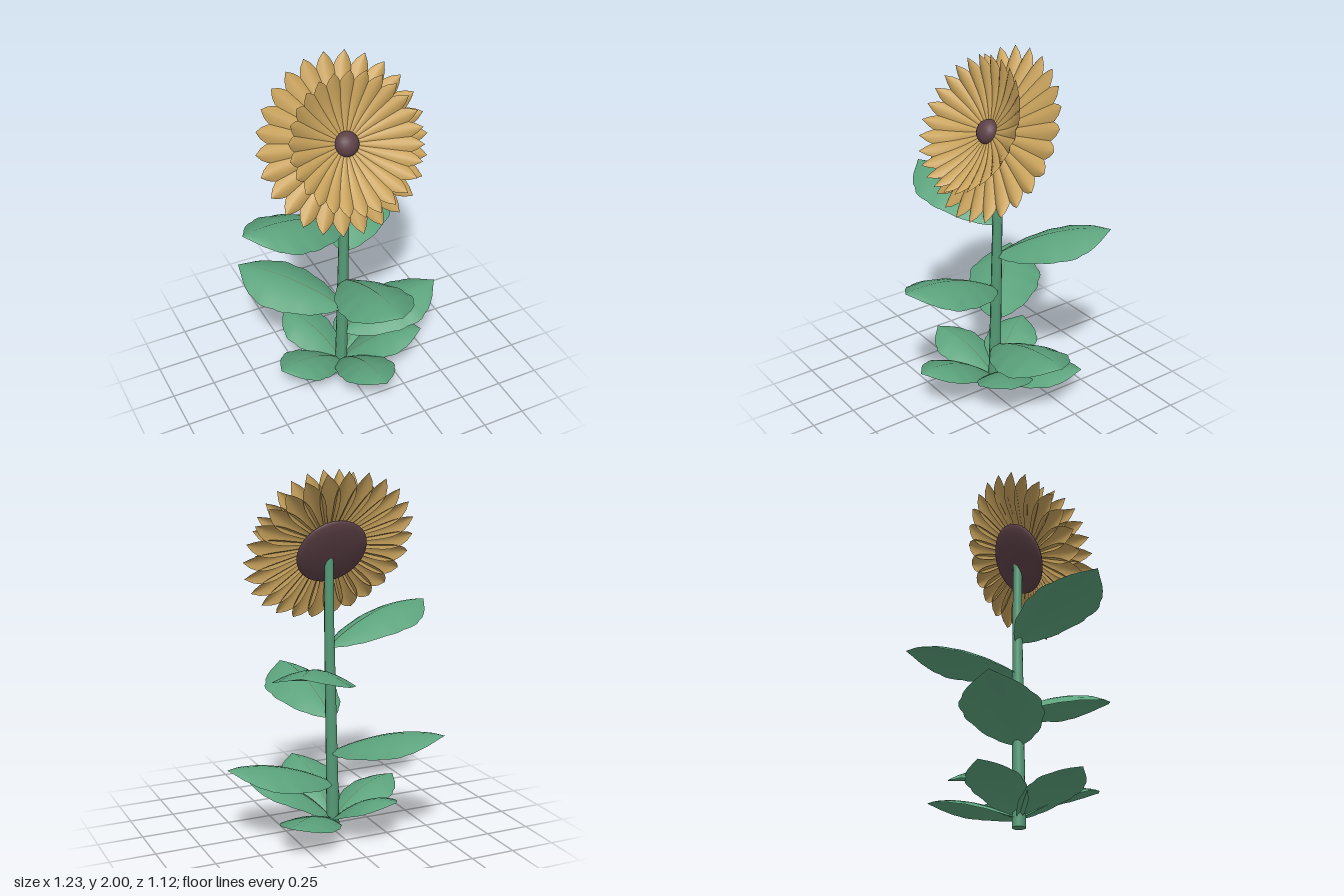
import * as THREE from 'three';

const mat = (name, color, side = THREE.FrontSide) => {
  const m = new THREE.MeshStandardMaterial({ color, side });
  m.name = name;
  return m;
};

// Piecewise-linear lookup in a list of [t, value] pairs
const sample = (pts, t) => {
  for (let i = 1; i < pts.length; i++) {
    const [a, va] = pts[i - 1], [b, vb] = pts[i];
    if (t <= b) return va + (vb - va) * (t - a) / (b - a);
  }
  return pts[pts.length - 1][1];
};

// Curved strip along +z, upper side +y; mid(t) gives [y, z], half(t) the half width, droop lowers the edges
function blade(rows, cols, mid, half, droop) {
  const pos = [], idx = [];
  for (let i = 0; i <= rows; i++) {
    const t = i / rows, [y, z] = mid(t), w = half(t);
    for (let j = 0; j <= cols; j++) {
      const s = (j / cols) * 2 - 1;
      pos.push(s * w, y - droop(t) * Math.pow(Math.abs(s), 1.7), z);
      if (i < rows && j < cols) {
        const a = i * (cols + 1) + j, b = a + cols + 1;
        idx.push(a, b, a + 1, a + 1, b, b + 1);
      }
    }
  }
  const g = new THREE.BufferGeometry();
  g.setAttribute('position', new THREE.Float32BufferAttribute(pos, 3));
  g.setIndex(idx);
  g.computeVertexNormals();
  return g;
}

const LEAF = [[0, 0.06], [0.08, 0.36], [0.2, 0.64], [0.35, 0.86], [0.5, 0.98], [0.6, 1], [0.7, 0.95], [0.8, 0.78], [0.9, 0.45], [1, 0]];
const PETAL = [[0, 0.34], [0.3, 0.64], [0.55, 0.94], [0.7, 1], [0.82, 0.85], [0.92, 0.5], [1, 0]];

export function createModel() {
  const model = new THREE.Group();
  model.name = 'flower';
  const green = mat('leaf green', 0x5ba27c, THREE.DoubleSide);
  const stemGreen = mat('stem green', 0x559a76);
  const olive = mat('vein olive', 0x68805c, THREE.DoubleSide);
  const gold = mat('petal gold', 0xc8a25c, THREE.DoubleSide);
  const dark = mat('seed brown', 0x5c4046);
  const pollen = mat('pollen gold', 0xcfae68);

  const add = (parent, geo, material, name) => {
    const m = new THREE.Mesh(geo, material);
    m.name = name;
    parent.add(m);
    return m;
  };

  // Stem: slightly leaning tapered tube
  const stemX = y => -0.01 + 0.025 * Math.min(y, 1.2) / 1.2;
  const stem = new THREE.CylinderGeometry(0.024, 0.036, 1.55, 12, 8);
  const sp = stem.attributes.position;
  for (let i = 0; i < sp.count; i++) {
    const y = sp.getY(i) + 0.775;
    sp.setXYZ(i, sp.getX(i) + stemX(y), y, sp.getZ(i) - 0.06);
  }
  stem.computeVertexNormals();
  add(model, stem, stemGreen, 'stem');

  // Leaves: [base height, tip x, tip z, rise, half width, edge droop]
  const leaves = [
    [1.05, -0.62, 0.045, 0.19, 0.2, 0.085],
    [0.86, 0.39, -0.55, 0.17, 0.21, 0.08],
    [0.65, 0.05, 0.56, 0.18, 0.2, 0.085],
    [0.45, -0.46, -0.5, 0.16, 0.21, 0.08],
    [0.27, 0.61, -0.06, 0.16, 0.2, 0.085],
    // low rosette
    [0.05, 0.02, 0.46, 0.23, 0.155, 0.05],
    [0.05, 0.42, 0.13, 0.22, 0.155, 0.05],
    [0.05, 0.38, -0.39, 0.13, 0.155, 0.05],
    [0.05, -0.22, -0.42, 0.19, 0.155, 0.05],
    [0.05, -0.44, 0.05, 0.17, 0.155, 0.05],
  ];
  leaves.forEach(([y, tx, tz, rise, w, edge], n) => {
    const leaf = new THREE.Group();
    leaf.name = n < 5 ? 'stemLeaf' : 'baseLeaf';
    const dx = tx - stemX(y), dz = tz + 0.06, len = Math.hypot(dx, dz);
    const mid = t => [rise * (2.3 * t - 1.3 * t * t), len * t];
    // gently scalloped margin
    const half = t => w * sample(LEAF, t) * (1 + 0.03 * Math.sin(t * 31));
    const droop = t => edge * sample(LEAF, t);
    add(leaf, blade(20, 8, mid, half, droop), green, 'leafBlade');
    const rib = t => { const [a, b] = mid(t); return [a + 0.003, b]; };
    add(leaf, blade(20, 1, rib, t => 0.004 * (1 - t), () => 0), olive, 'midrib');
    leaf.position.set(stemX(y), y, -0.06);
    leaf.rotation.y = Math.atan2(dx, dz);
    model.add(leaf);
  });

  // Flower head: local +z is the facing direction
  const head = new THREE.Group();
  head.name = 'flowerHead';
  head.position.set(0, 1.58, -0.035);
  head.rotation.x = -0.51;
  model.add(head);

  // Thin dark seed disc behind and its small button in front
  const disc = add(head, new THREE.SphereGeometry(1, 32, 16), dark, 'seedDisc');
  disc.scale.set(0.2, 0.2, 0.035);
  disc.position.z = -0.032;
  const button = add(head, new THREE.SphereGeometry(1, 24, 12), dark, 'centreButton');
  button.scale.set(0.068, 0.068, 0.055);
  button.position.z = 0.035;

  // Petal rings: root and tip given as radius and depth, bow bends the middle forward
  const ring = (name, count, r0, d0, r1, d1, w, bow, fold, offset) => {
    const geo = blade(12, 6,
      t => [d0 + (d1 - d0) * t + bow * Math.sin(Math.PI * t), r0 + (r1 - r0) * t],
      t => w * sample(PETAL, t),
      t => fold * sample(PETAL, t));
    // turn so the petal points along +y and its upper side faces +z
    geo.applyMatrix4(new THREE.Matrix4().makeBasis(
      new THREE.Vector3(-1, 0, 0), new THREE.Vector3(0, 0, 1), new THREE.Vector3(0, 1, 0)));
    for (let i = 0; i < count; i++) {
      add(head, geo, gold, name).rotation.z = (i + offset) / count * Math.PI * 2;
    }
  };
  ring('outerPetal', 26, 0.08, 0.025, 0.485, 0, 0.058, -0.008, 0.03, 0);
  ring('innerPetal', 26, 0.05, 0.035, 0.375, 0.186, 0.052, -0.022, 0.028, 0.5);

  // Pollen beads between the two petal rings
  const bead = new THREE.SphereGeometry(0.011, 8, 6);
  for (let i = 0; i < 40; i++) {
    const a = i / 40 * Math.PI * 2, r = i % 2 ? 0.145 : 0.165;
    add(head, bead, pollen, 'pollenBead').position.set(r * Math.cos(a), r * Math.sin(a), i % 2 ? 0.035 : 0.03);
  }
  return model;
}
